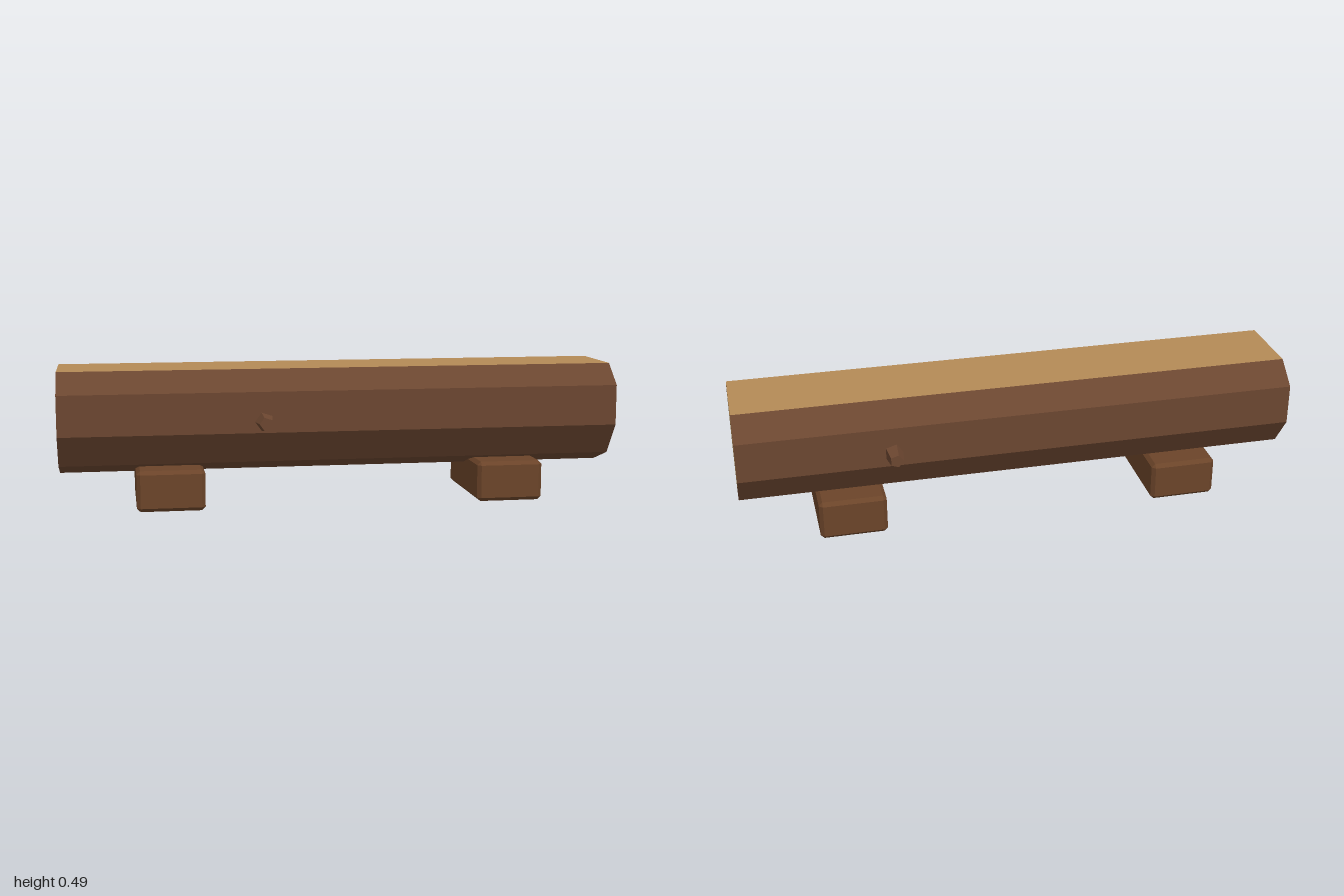
import * as THREE from 'three';
import { ConvexGeometry } from 'three/addons/geometries/ConvexGeometry.js';

const material = (color) =>
  new THREE.MeshStandardMaterial({ color, flatShading: true, side: THREE.DoubleSide });
const bark = material(0x6b4630);
const plank = material(0xb48a56);
const wood = material(0xc49f64);
const ringWood = material(0xa27a4a);
const support = material(0x6b4429);

// Half outlines as [z, y] from the top edge to the bottom point, mirrored to nine sides
const mirrored = (half) =>
  [...half, ...half.slice(0, -1).reverse().map(([z, y]) => [-z, y])].map(([z, y]) => new THREE.Vector2(z, y));
const outline = mirrored([[0.136, 0.49], [0.222, 0.418], [0.222, 0.273], [0.138, 0.158], [0, 0.112]]);
const cutEdge = mirrored([[0.118, 0.471], [0.191, 0.41], [0.191, 0.283], [0.117, 0.183], [0, 0.145]]);
const ringOuter = mirrored([[0.068, 0.418], [0.11, 0.382], [0.11, 0.31], [0.069, 0.252], [0, 0.23]]);
const ringInner = mirrored([[0.06, 0.407], [0.093, 0.378], [0.093, 0.315], [0.06, 0.263], [0, 0.248]]);

function addMesh(parent, name, geometry, mat) {
  const mesh = new THREE.Mesh(geometry, mat);
  mesh.name = name;
  parent.add(mesh);
  return mesh;
}

// Long flat strip along x between two outline points
function strip(a, b) {
  const g = new THREE.BufferGeometry();
  const p = [-1, a.y, a.x, -1, b.y, b.x, 1, b.y, b.x, 1, a.y, a.x];
  g.setAttribute('position', new THREE.Float32BufferAttribute(p, 3));
  g.setIndex([0, 1, 2, 0, 2, 3]);
  g.computeVertexNormals();
  return g;
}

// Flat end piece, optionally with a hole, facing +x or -x
function endPiece(points, hole, side) {
  const place = (list) => list.map((p) => new THREE.Vector2(-side * p.x, p.y));
  const shape = new THREE.Shape(place(points));
  if (hole) shape.holes.push(new THREE.Path(place(hole)));
  return new THREE.ShapeGeometry(shape).rotateY((side * Math.PI) / 2).translate(side, 0, 0);
}

// Box with every edge chamfered
function chamferedBox(w, h, d, c) {
  const points = [];
  for (const x of [-1, 1]) for (const y of [-1, 1]) for (const z of [-1, 1])
    for (let axis = 0; axis < 3; axis++) {
      const inset = [c, c, c];
      inset[axis] = 0;
      points.push(new THREE.Vector3(
        x * (w / 2 - inset[0]), y * (h / 2 - inset[1]), z * (d / 2 - inset[2])));
    }
  return new ConvexGeometry(points);
}

export function createModel() {
  const model = new THREE.Group();
  model.name = 'logBench';

  // Log with bark sides and a flat sawn top
  const log = new THREE.Group();
  log.name = 'log';
  model.add(log);
  outline.forEach((p, i) => {
    const last = i === outline.length - 1;
    addMesh(log, last ? 'seatTop' : 'barkSide', strip(p, outline[(i + 1) % outline.length]), last ? plank : bark);
  });

  // Cut ends with a bark rim and one growth ring
  for (const side of [-1, 1]) {
    const end = new THREE.Group();
    end.name = side > 0 ? 'leftEnd' : 'rightEnd';
    log.add(end);
    addMesh(end, 'barkRim', endPiece(outline, cutEdge, side), bark);
    addMesh(end, 'outerWood', endPiece(cutEdge, ringOuter, side), wood);
    addMesh(end, 'growthRing', endPiece(ringOuter, ringInner, side), ringWood);
    addMesh(end, 'innerWood', endPiece(ringInner, null, side), wood);
  }

  // Branch stubs on the front and back
  for (const [name, x, y, side] of [['frontStub', -0.285, 0.313, 1], ['backStub', 0.46, 0.324, -1]]) {
    const geometry = new THREE.CylinderGeometry(0.024, 0.037, 0.086, 5, 1, false, -Math.PI / 2);
    geometry.rotateX((side * Math.PI) / 2);
    addMesh(model, name, geometry, bark).position.set(x, y, side * 0.243);
  }

  // Supports under the log
  for (const [name, x] of [['rightSupport', -0.613], ['leftSupport', 0.61]])
    addMesh(model, name, chamferedBox(0.24, 0.145, 0.422, 0.013), support).position.set(x, 0.0725, 0);

  return model;
}
